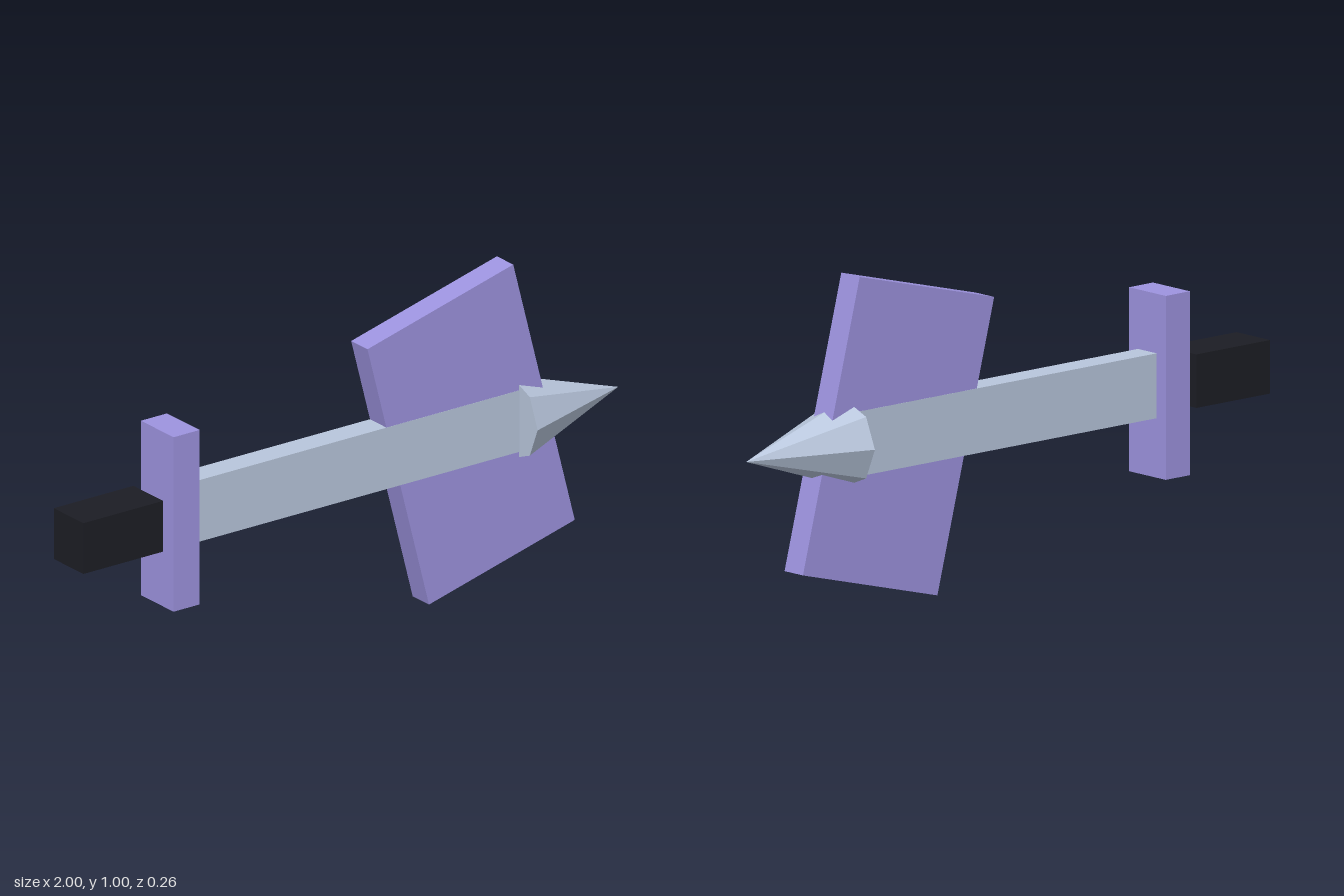
import * as THREE from 'three';

const material = (color) => new THREE.MeshStandardMaterial({ color, flatShading: true });

export function createModel() {
  const model = new THREE.Group();
  const steel = material(0xb8c6dc);
  const purple = material(0x9d93df);
  const black = material(0x1c1d24);

  const add = (name, geometry, mat, x) => {
    const mesh = new THREE.Mesh(geometry, mat);
    mesh.name = name;
    mesh.position.set(x, 0.5, 0);
    model.add(mesh);
    return mesh;
  };

  // Handle and crossguard
  add('grip', new THREE.BoxGeometry(0.29, 0.16, 0.145), black, -0.855);
  add('guard', new THREE.BoxGeometry(0.095, 0.55, 0.16), purple, -0.63);

  // Flat shaft, a hair thicker than the plate so their faces do not coincide
  add('shaft', new THREE.BoxGeometry(1.21, 0.194, 0.081), steel, 0.005);

  // Tilted broad plate crossing the shaft
  const plate = add('plate', new THREE.BoxGeometry(0.548, 0.888, 0.08), purple, 0.435);
  plate.rotation.z = THREE.MathUtils.degToRad(14.6);

  // Eight-sided point
  const tip = add('tip', new THREE.ConeGeometry(0.13, 0.39, 8), steel, 0.805);
  tip.rotation.z = -Math.PI / 2;

  return model;
}
